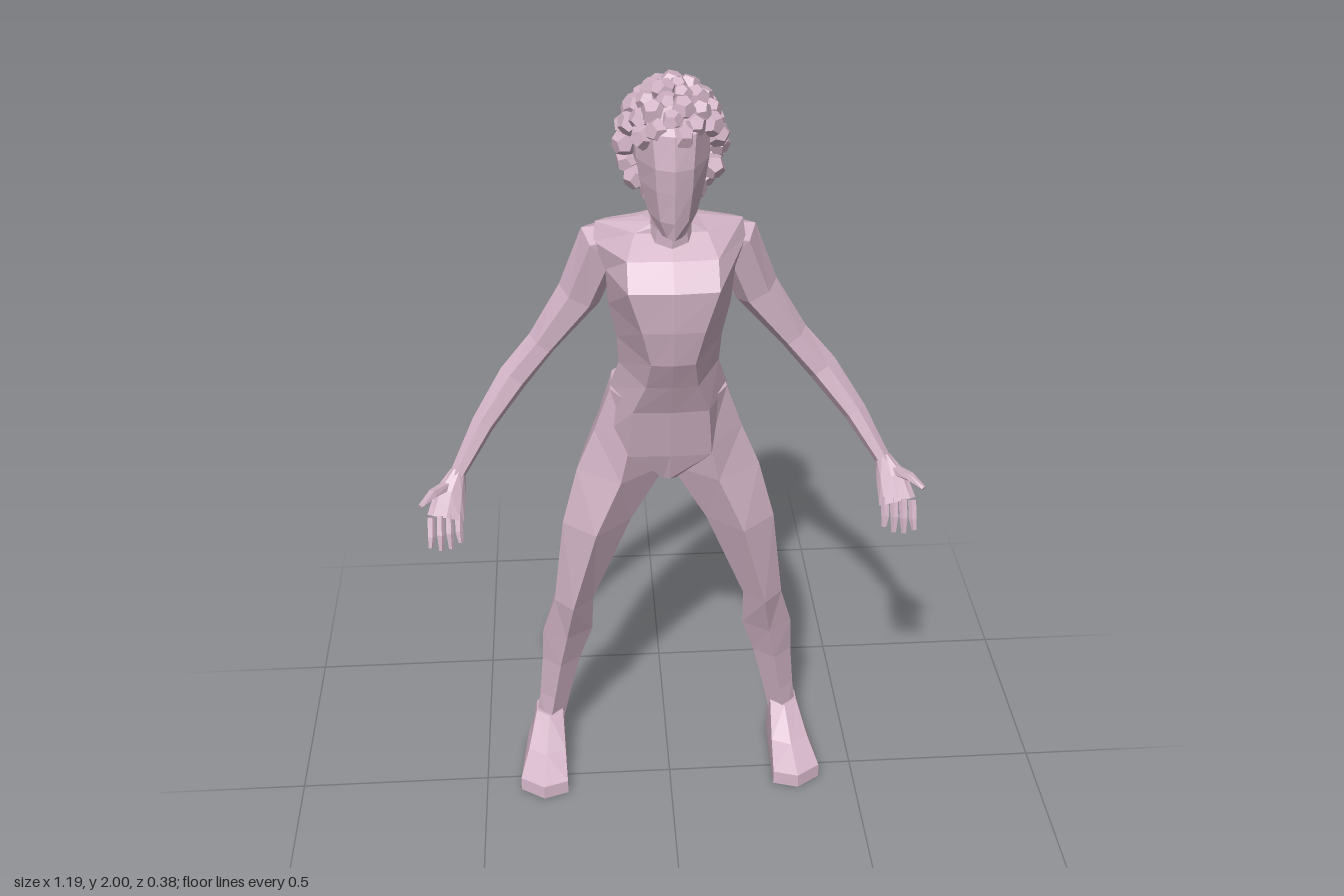
import * as THREE from 'three';
import { mergeGeometries } from 'three/addons/utils/BufferGeometryUtils.js';

const skin = new THREE.MeshStandardMaterial({ color: 0xcfb1c3 });
skin.name = 'dusty pink';
skin.flatShading = true;

const lerp = THREE.MathUtils.lerp;

// Skin a stack of rings (arrays of [x, y, z] with equal length) and cap both ends
function loft(rings) {
  const n = rings[0].length, pos = rings.flat(2), idx = [];
  for (let i = 0; i < rings.length - 1; i++)
    for (let j = 0; j < n; j++) {
      const a = i * n + j, b = i * n + (j + 1) % n;
      idx.push(a, a + n, b, b, a + n, b + n);
    }
  [rings[0], rings[rings.length - 1]].forEach((ring, end) => {
    const c = pos.length / 3, base = end ? (rings.length - 1) * n : 0;
    for (let k = 0; k < 3; k++) pos.push(ring.reduce((s, p) => s + p[k], 0) / n);
    for (let j = 0; j < n; j++) {
      const a = base + j, b = base + (j + 1) % n;
      if (end) idx.push(c, b, a); else idx.push(c, a, b);
    }
  });
  const g = new THREE.BufferGeometry();
  g.setAttribute('position', new THREE.Float32BufferAttribute(pos, 3));
  g.setIndex(idx);
  g.computeVertexNormals();
  return g;
}

// Sweep an oval section along points [x, y, z, radiusU, radiusV]
function limb(points, sides) {
  const P = points.map(p => new THREE.Vector3(p[0], p[1], p[2]));
  const ref = new THREE.Vector3(0, 0, 1);
  return loft(P.map((c, i) => {
    const t = P[Math.min(i + 1, P.length - 1)].clone().sub(P[Math.max(i - 1, 0)]).normalize();
    const u = t.clone().cross(ref).normalize(), v = u.clone().cross(t);
    return Array.from({ length: sides }, (_, j) => {
      const a = j / sides * Math.PI * 2;
      return c.clone().addScaledVector(u, Math.cos(a) * points[i][3])
        .addScaledVector(v, Math.sin(a) * points[i][4]).toArray();
    });
  }));
}

// Symmetric body section: front panel, side point, rear side and back panel
function bodyRing([y, zf, fw, sx, sz, bw, zb], ridge) {
  const rx = lerp(sx, bw, 0.35), rz = lerp(sz, zb, 0.65);
  return [[sx, y, sz], [fw, y, zf], [0, y, zf + ridge], [-fw, y, zf], [-sx, y, sz],
    [-rx, y, rz], [-bw, y, zb], [0, y, zb], [bw, y, zb], [rx, y, rz]];
}

// Six-sided leg section with a ridge down the front
function legRing([y, xi, xo, zf, zb]) {
  const m = lerp(xi, xo, 0.52), z = k => lerp(zf, zb, k), x = k => lerp(xi, xo, k);
  return [[xo, y, z(0.38)], [m, y, zf], [xi, y, z(0.4)], [x(0.15), y, z(0.85)],
    [x(0.55), y, zb], [x(0.93), y, z(0.8)]];
}

function mirrored(g) {
  const m = g.clone().scale(-1, 1, 1), a = m.index.array;
  for (let i = 0; i < a.length; i += 3) [a[i], a[i + 1]] = [a[i + 1], a[i]];
  m.computeVertexNormals();
  return m;
}

export function createModel() {
  const model = new THREE.Group();
  model.name = 'figure';
  const add = (name, g) => {
    const mesh = new THREE.Mesh(g, skin);
    mesh.name = name;
    model.add(mesh);
  };
  const addPair = (name, g) => {
    add(name + 'Left', g);
    add(name + 'Right', mirrored(g));
  };

  // Torso, from crotch to collar: y, front z, front half width, side x, side z, back half width, back z
  add('torso', loft([
    [0.97, 0.0, 0.015, 0.03, -0.06, 0.02, -0.11],
    [1.05, 0.025, 0.1, 0.165, -0.07, 0.07, -0.172],
    [1.19, 0.055, 0.09, 0.143, -0.07, 0.08, -0.185],
    [1.28, 0.095, 0.06, 0.118, -0.03, 0.07, -0.132],
    [1.36, 0.135, 0.05, 0.122, -0.01, 0.075, -0.13],
    [1.45, 0.152, 0.07, 0.14, 0.0, 0.085, -0.125],
    [1.55, 0.158, 0.1, 0.145, 0.03, 0.1, -0.1],
    [1.605, 0.11, 0.1, 0.17, 0.0, 0.11, -0.075],
    [1.645, 0.05, 0.08, 0.165, -0.02, 0.1, -0.045],
    [1.67, 0.045, 0.035, 0.06, 0.01, 0.04, -0.02],
  ].map(r => bodyRing(r, 0.006))));

  // Neck and head with a pointed chin
  add('neck', limb([[0, 1.6, 0.03, 0.06, 0.06], [0, 1.67, 0.045, 0.045, 0.045],
    [0, 1.78, 0.065, 0.042, 0.045]], 8));
  add('head', loft([
    [1.68, 0.155, 0.015, 0.025, 0.14, 0.018, 0.12],
    [1.72, 0.16, 0.03, 0.052, 0.11, 0.035, 0.06],
    [1.79, 0.165, 0.038, 0.07, 0.1, 0.06, -0.01],
    [1.84, 0.168, 0.04, 0.077, 0.1, 0.07, -0.04],
    [1.91, 0.155, 0.045, 0.08, 0.09, 0.07, -0.04],
    [1.96, 0.11, 0.03, 0.05, 0.06, 0.04, 0.0],
  ].map(r => bodyRing(r, 0.016))));

  // Curly hair: faceted lumps spread over an oval, leaving the face open
  const curls = [new THREE.IcosahedronGeometry(1, 1).scale(0.095, 0.11, 0.098).translate(0, 1.865, 0.03)];
  const count = 105;
  for (let i = 0; i < count; i++) {
    const h = 1 - 2 * (i + 0.5) / count, r = Math.sqrt(1 - h * h), a = i * 2.39996;
    const x = r * Math.cos(a) * 0.1, y = 1.858 + h * 0.117, z = 0.05 + r * Math.sin(a) * 0.11;
    if (y < 1.755 || (z > 0.085 && y < 1.895)) continue;
    const s = 0.022 + 0.007 * Math.abs(Math.sin(i * 7.3));
    curls.push(new THREE.DodecahedronGeometry(s).rotateX(i * 1.7).rotateY(i * 2.3).translate(x, y, z));
  }
  add('hair', mergeGeometries(curls));

  // Arms
  addPair('arm', limb([
    [0.09, 1.595, -0.025, 0.04, 0.045], [0.15, 1.588, -0.035, 0.058, 0.055],
    [0.205, 1.45, -0.055, 0.052, 0.05], [0.295, 1.33, -0.05, 0.036, 0.042],
    [0.365, 1.25, -0.03, 0.037, 0.038], [0.44, 1.155, 0.02, 0.028, 0.03],
    [0.507, 1.05, 0.08, 0.018, 0.02]], 6));

  // Hands: palm, four fingers and a thumb
  const hand = [
    limb([[0.503, 1.06, 0.075, 0.018, 0.018], [0.522, 1.02, 0.105, 0.036, 0.018],
      [0.535, 0.97, 0.138, 0.044, 0.014]], 8),
    limb([[0.525, 1.035, 0.095, 0.014, 0.014], [0.56, 1.038, 0.135, 0.012, 0.012],
      [0.588, 1.025, 0.168, 0.006, 0.007]], 5),
  ];
  for (let i = 0; i < 4; i++) {
    const reach = [0.012, 0, 0, 0.012][i], x = 0.505 + 0.021 * i, z = 0.13 + 0.006 * i;
    hand.push(limb([[x, 0.98, z, 0.01, 0.01], [x + 0.001, 0.94, z + 0.022, 0.01, 0.009],
      [x + 0.002 * i - 0.002, 0.903 + reach, z + 0.032, 0.006, 0.006]], 5));
  }
  addPair('hand', mergeGeometries(hand));

  // Legs: y, inner x, outer x, front z, back z
  addPair('leg', loft([
    [0.08, 0.29, 0.365, -0.09, -0.185],
    [0.2, 0.265, 0.348, -0.085, -0.165],
    [0.33, 0.235, 0.336, -0.068, -0.166],
    [0.44, 0.2, 0.33, -0.045, -0.158],
    [0.57, 0.195, 0.295, 0.0, -0.13],
    [0.82, 0.095, 0.265, 0.03, -0.155],
    [0.97, 0.005, 0.225, 0.022, -0.175],
    [1.08, 0.005, 0.18, 0.024, -0.18],
    [1.2, 0.03, 0.14, 0.04, -0.175],
  ].map(legRing)));

  // Feet: flat sole narrowing up to the ankle
  const sole = [[0.407, 0.05], [0.345, 0.09], [0.28, 0.07], [0.285, -0.15], [0.325, -0.19], [0.388, -0.14]];
  const ankle = [[0.36, -0.11], [0.325, -0.085], [0.288, -0.11], [0.285, -0.145], [0.325, -0.182], [0.36, -0.15]];
  addPair('foot', loft([[0, 0], [0.038, 0.02], [0.075, 0.5], [0.14, 1]].map(([y, k]) =>
    sole.map((p, i) => [lerp(p[0], ankle[i][0], k), y, lerp(p[1], ankle[i][1], k)]))));

  return model;
}
